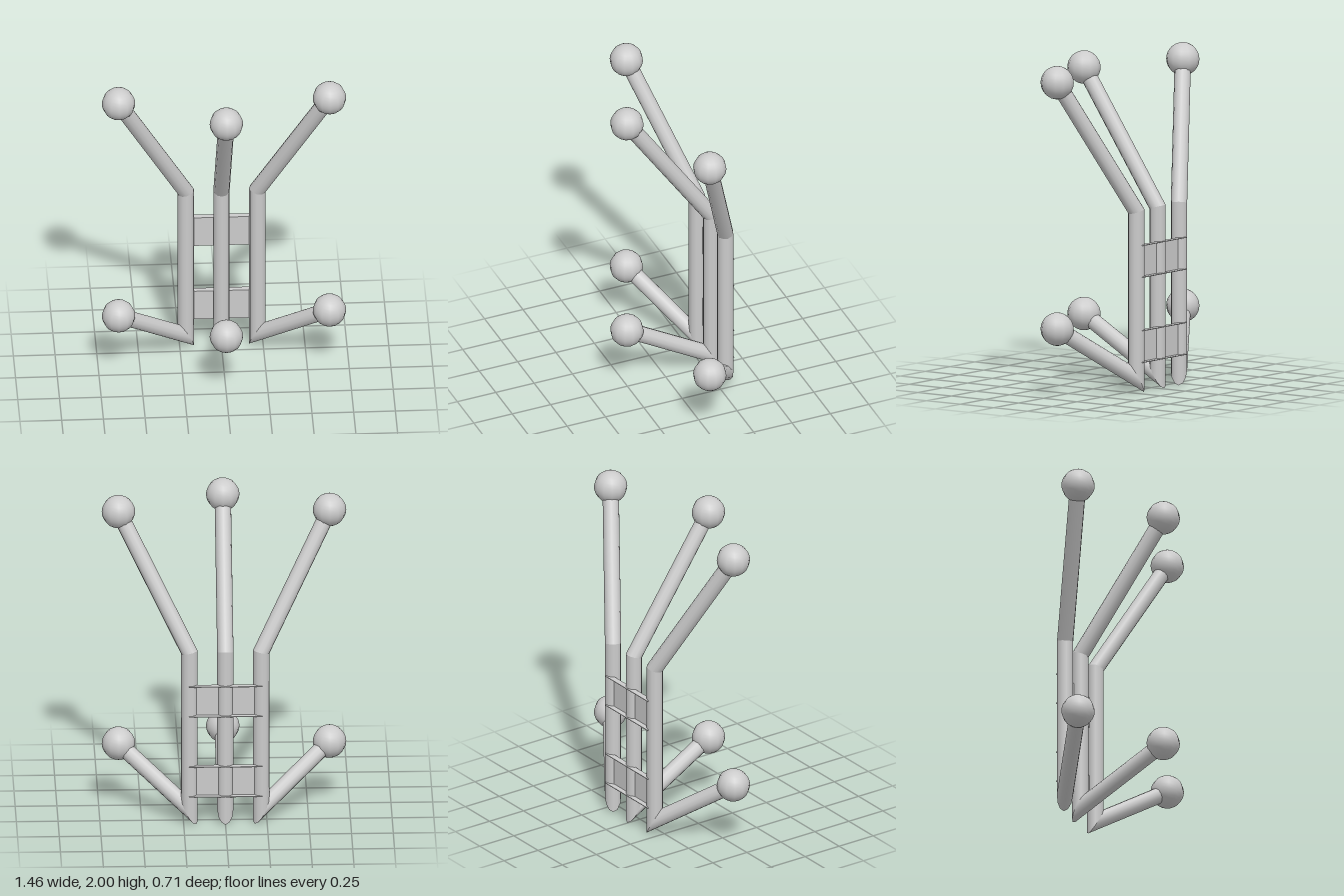
import * as THREE from 'three';

const BACK = -0.295, ROD_R = 0.049, BALL_R = 0.1, SIDES = 12;
const V = (x, y, z) => new THREE.Vector3(x, y, z);

// Round rod along a planar path, with mitred bends; u is the normal of the path's plane
function mitredRod(path, u) {
  const dirs = path.slice(1).map((p, i) => p.clone().sub(path[i]).normalize());
  const pos = [], nor = [], idx = [];
  dirs.forEach((d, s) => {
    const v = d.clone().cross(u);
    const base = pos.length / 3;
    [s, s + 1].forEach((k) => {
      // Cutting plane halfway between the neighbouring directions
      const cut = (dirs[k - 1] || d).clone().add(dirs[k] || d).normalize();
      for (let i = 0; i <= SIDES; i++) {
        const a = (i / SIDES) * Math.PI * 2;
        const n = u.clone().multiplyScalar(Math.cos(a)).addScaledVector(v, Math.sin(a));
        const o = n.clone().multiplyScalar(ROD_R);
        o.addScaledVector(d, -o.dot(cut) / d.dot(cut)).add(path[k]);
        pos.push(o.x, o.y, o.z);
        nor.push(n.x, n.y, n.z);
      }
    });
    for (let i = 0; i < SIDES; i++) {
      const a = base + i, b = a + SIDES + 1;
      idx.push(a, a + 1, b + 1, a, b + 1, b);
    }
  });
  const g = new THREE.BufferGeometry();
  g.setAttribute('position', new THREE.Float32BufferAttribute(pos, 3));
  g.setAttribute('normal', new THREE.Float32BufferAttribute(nor, 3));
  g.setIndex(idx);
  return g;
}

export function createModel() {
  const group = new THREE.Group();
  const mat = new THREE.MeshStandardMaterial({ color: 0xcccccc, side: THREE.DoubleSide });
  const add = (parent, name, geo, x = 0, y = 0, z = 0) => {
    const m = new THREE.Mesh(geo, mat);
    m.name = name;
    m.position.set(x, y, z);
    parent.add(m);
  };

  // Three bent hooks: rod foot x, ball x, ball z
  const ball = new THREE.SphereGeometry(BALL_R, 12, 16);
  [['leftHook', 0.215, 0.632, -0.015], ['middleHook', 0, 0, 0.253], ['rightHook', -0.215, -0.632, -0.015]]
    .forEach(([name, x, bx, bz]) => {
      const hook = new THREE.Group();
      hook.name = name;
      const path = [V(bx, 1.9, bz), V(x, 1.1, BACK), V(x, 0.093, BACK), V(bx, 0.41, bz)];
      const u = V(bz - BACK, 0, x - bx).normalize();
      add(hook, 'rod', mitredRod(path, u));
      add(hook, 'upperBall', ball, bx, 1.9, bz);
      add(hook, 'lowerBall', ball, bx, 0.41, bz);
      group.add(hook);
    });

  // Two shallow channels, open to the back, joining the rods
  [['lowerBracket', 0.285], ['upperBracket', 0.8]].forEach(([name, y]) => {
    const bracket = new THREE.Group();
    bracket.name = name;
    add(bracket, 'web', new THREE.BoxGeometry(0.44, 0.196, 0.004), 0, y, -0.317);
    for (const s of [-1, 1])
      add(bracket, 'flange', new THREE.BoxGeometry(0.44, 0.004, 0.037), 0, y + s * 0.096, -0.3335);
    group.add(bracket);
  });
  return group;
}
